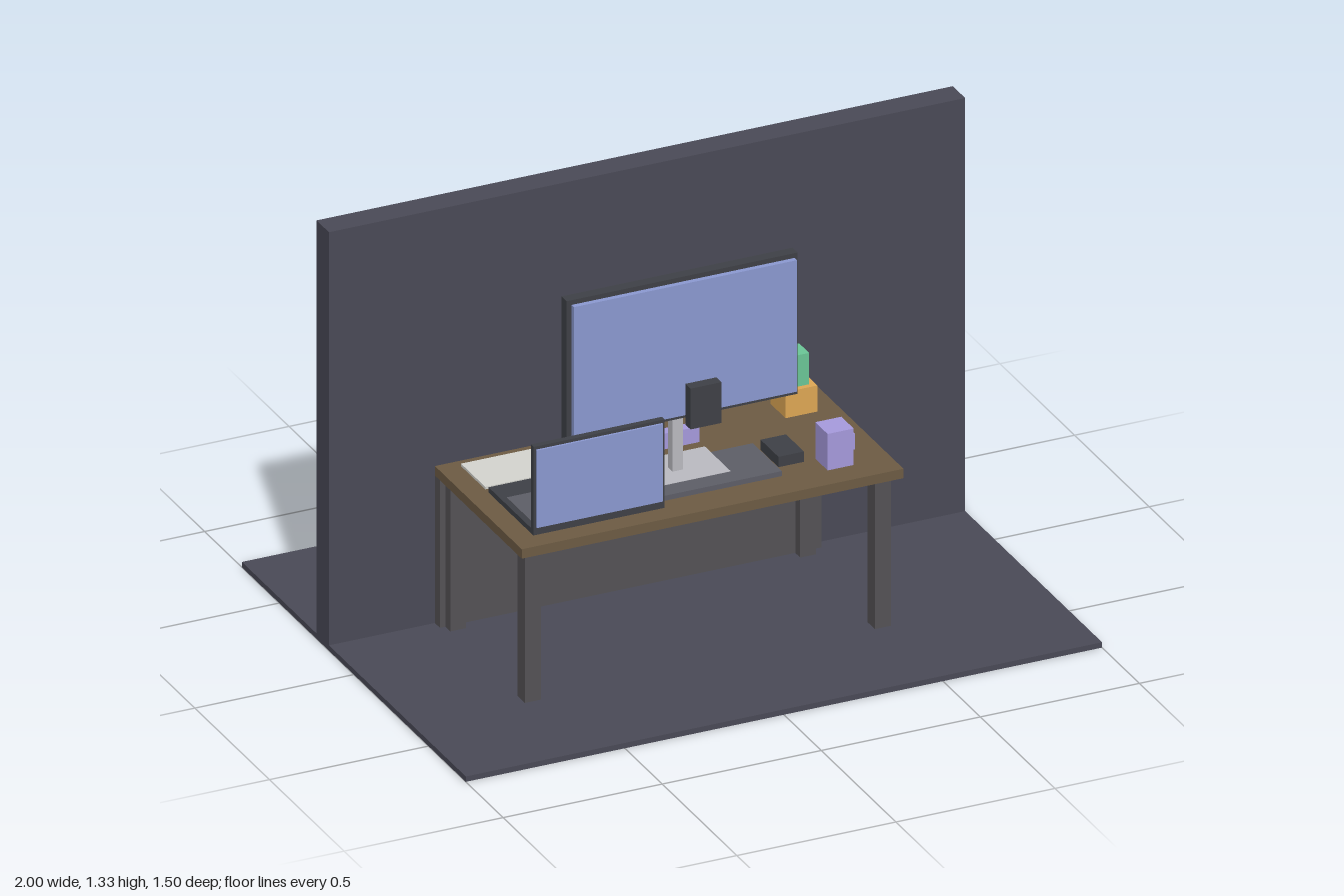
import * as THREE from 'three';

const mats = {};
const mat = (color) => (mats[color] ??= new THREE.MeshStandardMaterial({ color, flatShading: true }));

// Box given by its limits along each axis
function box(parent, name, color, [x0, x1], [y0, y1], [z0, z1]) {
  const mesh = new THREE.Mesh(new THREE.BoxGeometry(x1 - x0, y1 - y0, z1 - z0), mat(color));
  mesh.position.set((x0 + x1) / 2, (y0 + y1) / 2, (z0 + z1) / 2);
  mesh.name = name;
  parent.add(mesh);
  return mesh;
}

function group(parent, name) {
  const g = new THREE.Group();
  g.name = name;
  parent.add(g);
  return g;
}

export function createModel() {
  const WALL = 0x4a4a57, WOOD = 0x6e5c44, STEEL = 0x555356, DARK = 0x3f4147;
  const SCREEN = 0x8c9ad2, SILVER = 0xbcbcc2, PAD = 0x5e5f68, LILAC = 0xa79bde;
  const top = 0.517; // desk surface height
  const root = new THREE.Group();
  root.name = 'workspace';

  // Room
  box(root, 'floor', WALL, [-1, 1], [0, 0.017], [-0.75, 0.75]);
  box(root, 'wall', WALL, [-1, 1], [0.017, 1.333], [-0.25, -0.167]);

  // Desk
  const desk = group(root, 'desk');
  box(desk, 'deskTop', WOOD, [-0.667, 0.533], [0.487, top], [-0.167, 0.415]);
  box(desk, 'backPanel', STEEL, [-0.667, 0.533], [0.017, 0.487], [-0.167, -0.133]);
  for (const x of [-0.65, 0.45])
    for (const z of [-0.15, 0.35])
      box(desk, 'leg', STEEL, [x, x + 0.05], [0.017, 0.487], [z, z + 0.05]);

  // Monitor on its stand, with a small device in front
  const monitor = group(root, 'monitor');
  box(monitor, 'monitorFrame', DARK, [-0.433, 0.293], [0.717, 1.167], [0.183, 0.217]);
  box(monitor, 'monitorScreen', SCREEN, [-0.418, 0.283], [0.733, 1.152], [0.217, 0.233]);
  box(monitor, 'standPole', SILVER, [-0.084, -0.052], [0.53, 0.717], [0.152, 0.183]);
  box(monitor, 'standBase', SILVER, [-0.2, 0.067], [top, 0.534], [0.077, 0.25]);
  box(monitor, 'frontDevice', DARK, [-0.067, 0.03], [0.703, 0.833], [0.233, 0.267]);

  // Laptop
  const laptop = group(root, 'laptop');
  box(laptop, 'laptopBase', DARK, [-0.6, -0.188], [top, 0.534], [0.05, 0.35]);
  box(laptop, 'laptopKeys', PAD, [-0.583, -0.2], [0.534, 0.537], [0.135, 0.334]);
  box(laptop, 'laptopLid', DARK, [-0.6, -0.188], [0.53, 0.8], [0.334, 0.352]);
  box(laptop, 'laptopScreen', SCREEN, [-0.593, -0.196], [0.543, 0.79], [0.352, 0.359]);

  // Items lying on the desk
  box(root, 'deskMat', PAD, [-0.2, 0.2], [top, 0.533], [0.115, 0.31]);
  box(root, 'mouse', DARK, [0.215, 0.295], [top, 0.55], [0.135, 0.255]);
  box(root, 'paper', 0xd6d6d0, [-0.6, -0.303], [top, 0.525], [-0.135, 0.028]);
  box(root, 'bar', LILAC, [-0.25, 0.08], [top, 0.567], [-0.017, 0.015]);

  // Potted plant
  const plant = group(root, 'plant');
  box(plant, 'pot', 0xdfa855, [0.365, 0.465], [top, 0.6], [-0.117, -0.017]);
  box(plant, 'foliage', 0x6cc898, [0.382, 0.447], [0.6, 0.7], [-0.1, -0.034]);

  // Mug
  const mug = group(root, 'mug');
  box(mug, 'mugBody', LILAC, [0.333, 0.415], [top, 0.633], [0.25, 0.333]);
  box(mug, 'mugHandle', LILAC, [0.415, 0.43], [0.552, 0.602], [0.275, 0.308]);

  return root;
}
